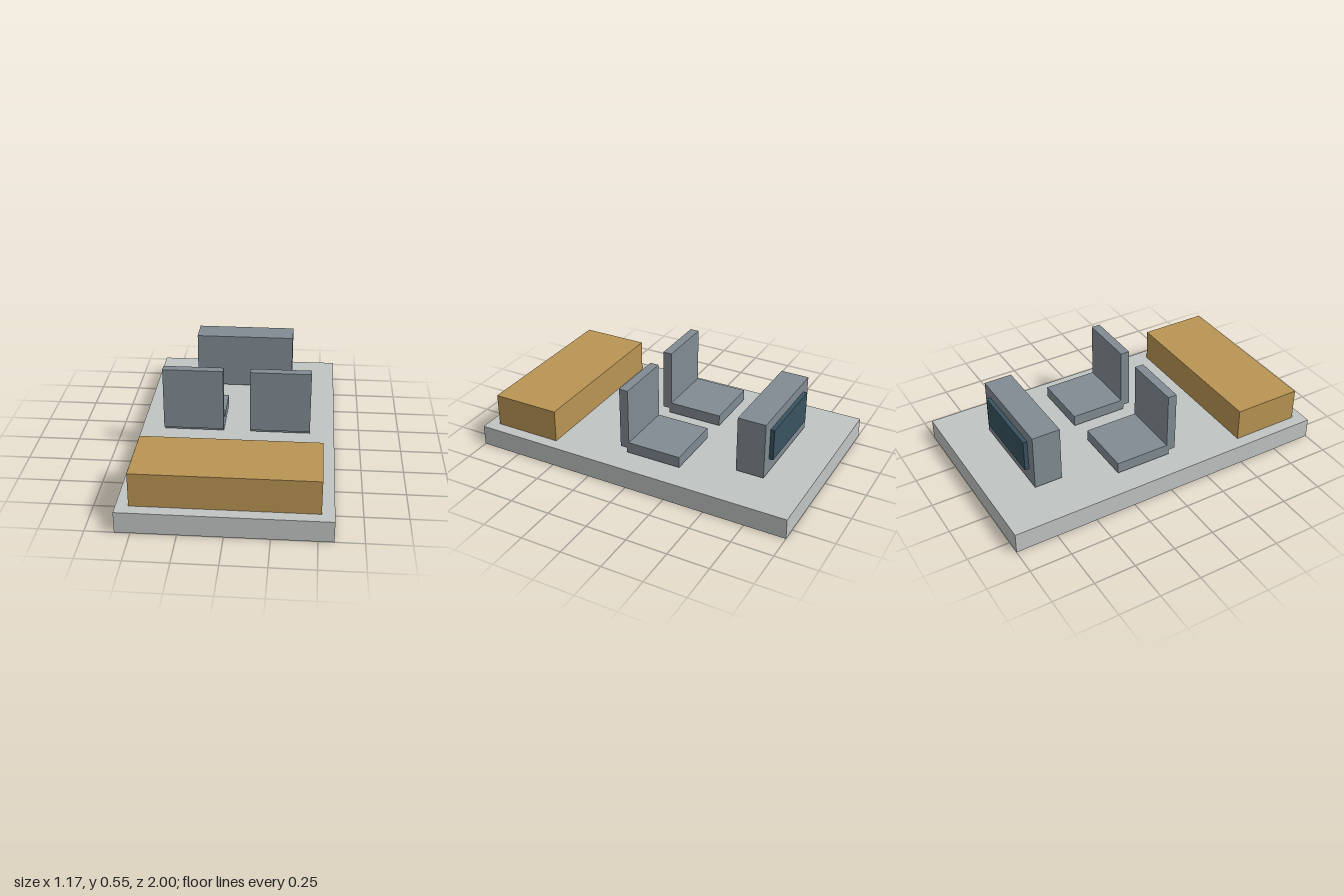
import * as THREE from 'three';

const material = (name, color) => {
  const m = new THREE.MeshStandardMaterial({ color });
  m.name = name;
  return m;
};

// Box given by its extents along each axis
function block(name, mat, [x0, x1], [y0, y1], [z0, z1]) {
  const mesh = new THREE.Mesh(new THREE.BoxGeometry(x1 - x0, y1 - y0, z1 - z0), mat);
  mesh.position.set((x0 + x1) / 2, (y0 + y1) / 2, (z0 + z1) / 2);
  mesh.name = name;
  return mesh;
}

export function createModel() {
  const floorGrey = material('floor grey', 0xc0c4c2);
  const ochre = material('bench ochre', 0xb99453);
  const slate = material('slate grey', 0x808b92);
  const screenBlue = material('dark screen blue', 0x38525f);

  const model = new THREE.Group();
  model.name = 'cabin';

  // Floor slab and the long bench at the front end
  model.add(block('floor', floorGrey, [-0.587, 0.587], [0, 0.125], [-1, 1]));
  model.add(block('bench', ochre, [-0.516, 0.516], [0.125, 0.325], [0.515, 0.93]));

  // Pair of seats facing the console, raised slightly off the floor
  for (const side of [-1, 1]) {
    const seat = new THREE.Group();
    seat.name = side > 0 ? 'leftSeat' : 'rightSeat';
    seat.add(block('cushion', slate, [-0.18, 0.18], [0.14, 0.208], [-0.275, 0.07]));
    seat.add(block('backrest', slate, [-0.18, 0.18], [0.17, 0.55], [0.055, 0.11]));
    seat.position.x = side * 0.26;
    model.add(seat);
  }

  // Console with a screen on its rear face
  model.add(block('console', slate, [-0.31, 0.31], [0.14, 0.485], [-0.74, -0.57]));
  model.add(block('screen', screenBlue, [-0.242, 0.242], [0.228, 0.422], [-0.765, -0.735]));

  return model;
}
